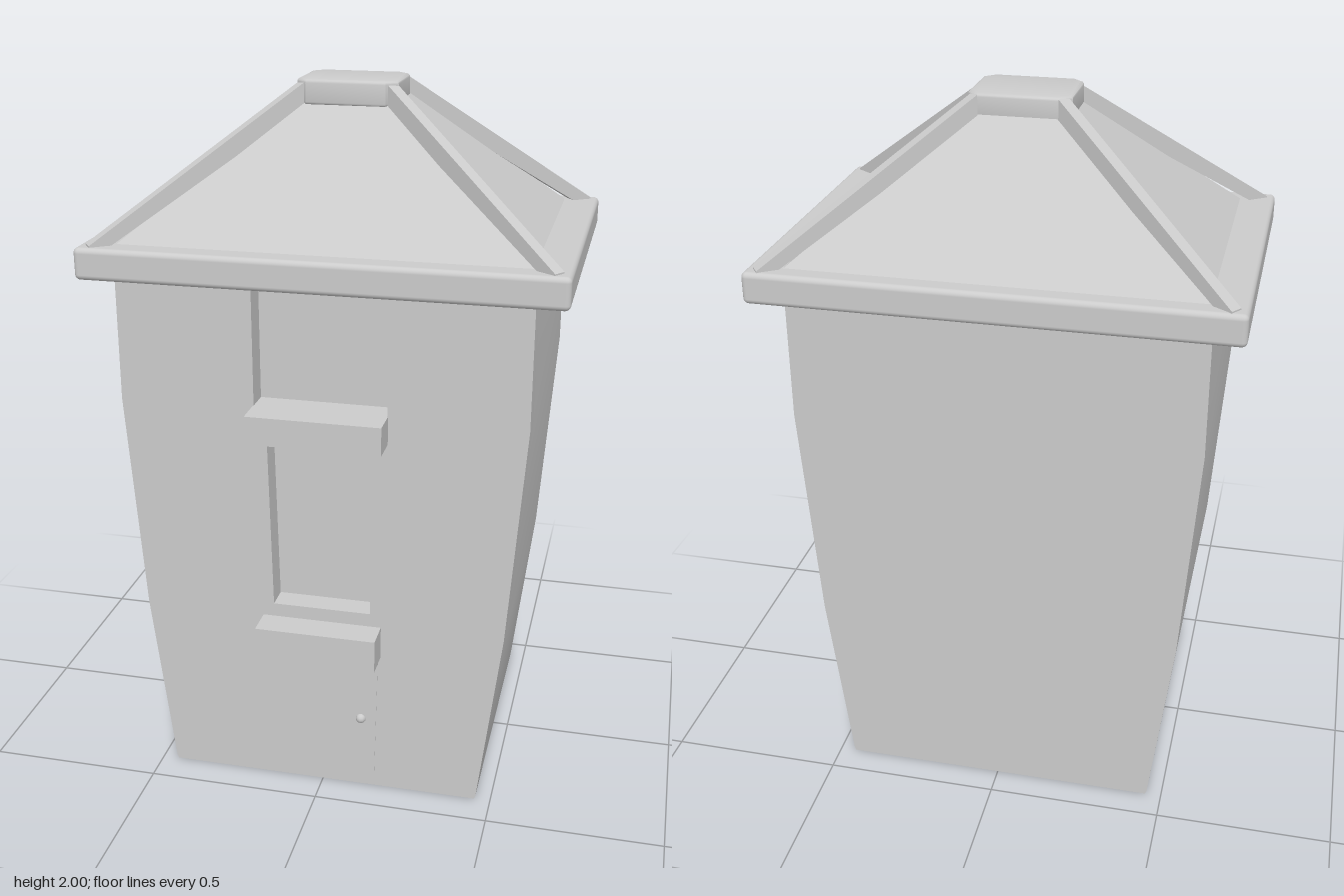
import * as THREE from 'three';
import { toCreasedNormals } from 'three/addons/utils/BufferGeometryUtils.js';
import { RoundedBoxGeometry } from 'three/addons/geometries/RoundedBoxGeometry.js';

const grey = new THREE.MeshStandardMaterial({ color: 0xcccccc });

function add(parent, name, geometry, x = 0, y = 0, z = 0) {
  const mesh = new THREE.Mesh(geometry, grey);
  mesh.name = name;
  mesh.position.set(x, y, z);
  parent.add(mesh);
  return mesh;
}

const points = (list) => list.map(([x, y]) => new THREE.Vector2(x, y));

// Mirrors a right-hand profile of [x, y] points (bottom to top) into a closed outline
function symmetric(profile) {
  const left = profile.map(([x, y]) => [-x, y]).reverse();
  return points([...profile, ...left]);
}

function extrude(shape, depth) {
  const g = new THREE.ExtrudeGeometry(shape, { depth, bevelEnabled: false });
  return toCreasedNormals(g, 0.5);
}

// Four sloping faces between a lower and an upper rectangle [halfX, zBack, zFront, y]
function slopes(low, high) {
  const ring = ([hx, zb, zf, y]) => [[-hx, y, zf], [hx, y, zf], [hx, y, zb], [-hx, y, zb]];
  const a = ring(low), b = ring(high), pos = [];
  for (let i = 0; i < 4; i++) {
    const j = (i + 1) % 4;
    pos.push(...a[i], ...a[j], ...b[j], ...a[i], ...b[j], ...b[i]);
  }
  const g = new THREE.BufferGeometry();
  g.setAttribute('position', new THREE.Float32BufferAttribute(pos, 3));
  g.computeVertexNormals();
  return g;
}

export function createModel() {
  const model = new THREE.Group();
  model.name = 'house';

  // Walls: flared body with a front layer pierced by the window openings
  const wall = [[0.453, 0], [0.457, 0.01], [0.52, 0.53], [0.565, 1.16], [0.565, 1.53]];
  const front = 0.405, back = -0.417, recess = 0.07;
  add(model, 'walls', extrude(new THREE.Shape(symmetric(wall)), front - recess - back), 0, 0, back);
  const facade = new THREE.Shape(symmetric(wall));
  const openings = [
    [[0.185, 1.12], [0.185, 1.505]],
    [[0.14, 0.57], [0.15, 1.055]],
  ];
  for (const o of openings) facade.holes.push(new THREE.Path(symmetric(o)));
  add(model, 'frontWall', extrude(facade, recess), 0, 0, front - recess);

  // Window ledges
  add(model, 'upperLedge', new THREE.BoxGeometry(0.374, 0.08, 0.155), 0, 1.13, 0.4125);
  add(model, 'lowerLedge', new THREE.BoxGeometry(0.344, 0.095, 0.1), 0, 0.483, 0.44);

  // Door with a small knob
  const door = new THREE.Shape(symmetric([[0.155, 0.018], [0.165, 0.45]]));
  add(model, 'door', extrude(door, 0.012), 0, 0, front - 0.01);
  add(model, 'doorKnob', new THREE.SphereGeometry(0.015, 12, 8), 0.115, 0.225, front);

  // Roof: eaves slab, sunken panels, raised hips and a ridge cap
  const roof = new THREE.Group();
  roof.name = 'roof';
  model.add(roof);
  add(roof, 'eaves', new RoundedBoxGeometry(1.31, 0.088, 0.952, 3, 0.015), 0, 1.552, -0.009);
  add(roof, 'roofPanels', slopes([0.575, -0.443, 0.413, 1.58], [0.135, -0.112, 0.087, 1.948]));

  const corner = [[0.128, -0.102], [0.128, 0.102], [0.102, 0.128]];
  const cap = new THREE.Shape(points([
    [-0.107, -0.094], [0.107, -0.094], [0.132, -0.07], [0.132, 0.082],
    [0.107, 0.107], [-0.107, 0.107], [-0.132, 0.082], [-0.132, -0.07],
  ]));
  const capGeometry = toCreasedNormals(new THREE.ExtrudeGeometry(cap, {
    depth: 0.05, bevelThickness: 0.009, bevelSize: 0.008, bevelSegments: 3,
  }), 0.7).rotateX(-Math.PI / 2);
  add(roof, 'ridgeCap', capGeometry, 0, 1.941, 0);

  // One hip beam per corner: a sloping strip, tall enough to meet the panels
  const width = 0.035;
  for (const sx of [-1, 1]) {
    for (const sz of [-1, 1]) {
      const start = [sx * 0.118, -0.0125 + sz * 0.09];
      const end = [sx * 0.622, -0.011 + sz * 0.45];
      const dx = end[0] - start[0], dz = end[1] - start[1];
      const run = Math.hypot(dx, dz);
      const side = new THREE.Shape(points([
        [0, 1.93], [run, 1.56], [run, 1.6], [0, 1.997],
      ]));
      const g = extrude(side, width).translate(0, 0, -width / 2);
      const beam = add(roof, 'hipBeam', g, start[0], 0, start[1]);
      beam.rotation.y = Math.atan2(-dz, dx);
    }
  }
  return model;
}
